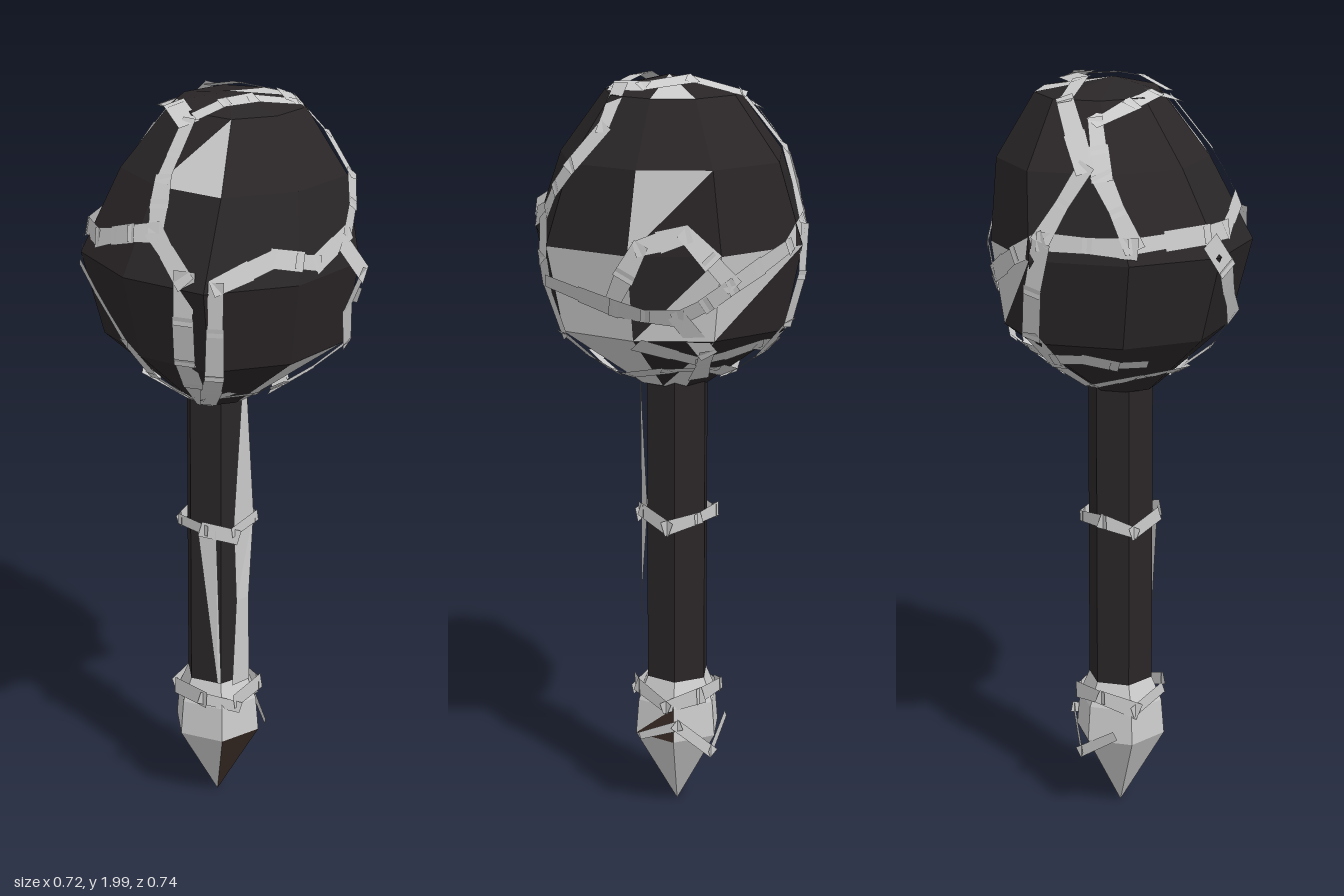
import * as THREE from 'three';

const V = (x, y, z) => new THREE.Vector3(x, y, z);
const rad = THREE.MathUtils.degToRad;
const material = (color, side = THREE.FrontSide) => new THREE.MeshStandardMaterial({ color, side, flatShading: true });
const dark = material(0x2a2628);
const brown = material(0x3a2c26);
const grey = material(0xcccccc);
const strapGrey = material(0xcccccc, THREE.DoubleSide);

// Shaft axis
const cx = -0.008, cz = -0.022;

function trianglesMesh(name, points, mat) {
  const geometry = new THREE.BufferGeometry().setFromPoints(points);
  geometry.computeVertexNormals();
  const mesh = new THREE.Mesh(geometry, mat);
  mesh.name = name;
  return mesh;
}

// Joins rings from bottom to top; pick(row, cell, half) chooses the mesh each facet goes to
function loft(name, rings, parts, pick) {
  const lists = parts.map(() => []);
  const n = rings[0].length;
  for (let r = 0; r < rings.length - 1; r++) {
    for (let i = 0; i < n; i++) {
      const j = (i + 1) % n;
      const a = rings[r][i], b = rings[r][j], c = rings[r + 1][j], d = rings[r + 1][i];
      if (a.distanceTo(b) > 1e-4) lists[pick(r, i, 0)].push(a, b, c);
      if (c.distanceTo(d) > 1e-4) lists[pick(r, i, 1)].push(a, c, d);
    }
  }
  const group = new THREE.Group();
  group.name = name;
  parts.forEach(([partName, mat], k) => group.add(trianglesMesh(partName, lists[k], mat)));
  return group;
}

// Flat overlapping strips along a path; outward(p) gives the facing direction
function ribbon(points, width, outward, out) {
  for (let k = 0; k < points.length - 1; k++) {
    const p = points[k], q = points[k + 1];
    const d = q.clone().sub(p).normalize();
    const side = d.clone().cross(outward(p.clone().lerp(q, 0.5))).normalize();
    const w0 = width * (0.5 + 0.1 * Math.sin(k * 2.3 + p.y * 20));
    const w1 = width * (0.5 + 0.1 * Math.cos(k * 3.1 + q.y * 20));
    const s = p.clone().addScaledVector(d, -0.012), e = q.clone().addScaledVector(d, 0.012);
    const a = s.clone().addScaledVector(side, w0), b = s.clone().addScaledVector(side, -w0);
    const c = e.clone().addScaledVector(side, -w1), f = e.clone().addScaledVector(side, w1);
    out.push(a, c, b, a, f, c);
  }
}

// Nine-sided stone head, each level scaled and shifted
function makeHead() {
  const radii = [0.36, 0.345, 0.36, 0.33, 0.345, 0.378, 0.36, 0.355, 0.33];
  const levels = [[1.185, 0, 0], [1.19, 0.26, -0.01], [1.36, 0.87, 0.01], [1.58, 1, 0],
    [1.79, 0.81, 0.038], [1.95, 0.48, 0.05], [1.985, 0, 0.02]];
  const rings = levels.map(([y, s, shift]) => radii.map((r, i) => {
    const a = rad(40 * i - 13);
    return V(Math.sin(a) * r * s + shift, y, Math.cos(a) * r * s - Math.abs(shift) * 0.8);
  }));
  // Pale facets, named by row and cell, with h for half a cell
  const pale = ['1-1', '1-2', '1-3h0', '2-2', '2-3h0', '2-4h1', '3-3h1', '4-8h0', '5-3h0'];
  return loft('head', rings, [['headStone', dark], ['headPalePatches', grey]],
    (r, i, h) => (pale.includes(`${r}-${i}`) || pale.includes(`${r}-${i}h${h}`) ? 1 : 0));
}

// Straps laid onto the head, each path in degrees: bearing from the front, then elevation
function makeHeadStraps(head) {
  const centre = V(0, 1.58, -0.01);
  const caster = new THREE.Raycaster();
  const direction = ([bearing, elevation]) => V(0, 0, 1).applyEuler(new THREE.Euler(-rad(elevation), rad(bearing), 0, 'YXZ'));
  const snap = dir => {
    caster.set(centre.clone().addScaledVector(dir, 2), dir.clone().negate());
    return caster.intersectObject(head, true)[0].point.addScaledVector(dir, 0.016);
  };
  const paths = [
    // front
    [[-21, 6], [-23, -33], [-24, -70]],
    [[-18, -68], [-9, -36], [-8, 3], [17, 12], [37, 7], [60, 14], [76, 32], [86, 48], [82, 64]],
    [[-21, 4], [-40, 22], [-80, 10], [-130, 8], [-144, 35], [-152, 57], [-125, 67], [-45, 70], [-45, 46], [-40, 24]],
    // crown
    [[-168, 9], [-153, 38], [-177, 61], [151, 75], [100, 67], [74, 65], [49, 77], [-35, 73]],
    // sides and back
    [[56, 10], [66, -4], [60, -18], [70, -34], [60, -68]],
    [[67, -14], [98, -23], [128, -27], [151, -13], [-168, 8], [-130, 7]],
    [[98, -20], [111, 4], [131, 10], [151, -12]],
    [[128, -27], [143, -42], [150, -65]],
    [[-95, 6], [-80, -15], [-60, -33], [-40, -68]],
    [[-168, 6], [-176, -30], [-167, -66]],
  ];
  // Zigzag loops underneath
  paths.push(Array.from({ length: 10 }, (_, k) => [k * 40, -62 + 5 * Math.sin(k * 2.2)]));
  paths.push(Array.from({ length: 5 }, (_, k) => [110 + k * 32, -44 + 7 * Math.cos(k * 2.6)]));
  const out = [];
  for (const path of paths) {
    const corners = path.map(direction);
    const points = [snap(corners[0])];
    for (let k = 1; k < corners.length; k++) {
      const steps = Math.ceil(corners[k].angleTo(corners[k - 1]) / 0.35);
      for (let s = 1; s <= steps; s++) points.push(snap(corners[k - 1].clone().lerp(corners[k], s / steps).normalize()));
    }
    ribbon(points, 0.047, p => p.clone().sub(centre).normalize(), out);
  }
  return trianglesMesh('headStraps', out, strapGrey);
}

// Point at a bearing around the shaft axis
const around = (deg, y, r) => V(cx + Math.sin(rad(deg)) * r, y, cz + Math.cos(rad(deg)) * r);

// Zigzag band around the shaft axis, over a number of 45 degree steps
function makeBand(name, y, r, wave, width, start, steps) {
  const points = Array.from({ length: steps + 1 }, (_, k) => around(k * 45 + start, y + wave * Math.sin(k * 2.2), r));
  const out = [];
  ribbon(points, width, p => V(p.x - cx, 0, p.z - cz).normalize(), out);
  return trianglesMesh(name, out, strapGrey);
}

// Tapering strip down the shaft; each station is height, left bearing, right bearing
function makeStrip(name, stations) {
  const out = [];
  const edges = stations.map(([y, left, right]) => [around(left, y, 0.098), around(right, y, 0.098)]);
  for (let k = 0; k < edges.length - 1; k++) {
    const [a, b] = [edges[k], edges[k + 1]];
    out.push(b[0], b[1], a[1], b[0], a[1], a[0]);
  }
  return trianglesMesh(name, out, strapGrey);
}

export function createModel() {
  const model = new THREE.Group();

  const head = makeHead();
  model.add(head, makeHeadStraps(head));

  // Six-sided shaft
  const shaft = new THREE.Mesh(new THREE.CylinderGeometry(0.087, 0.087, 0.86, 6), dark);
  shaft.position.set(cx, 0.79, cz);
  shaft.name = 'shaft';
  model.add(shaft);

  // Pointed pommel with two dark facets
  const rings = [[0, 0], [0.215, 0.122], [0.31, 0.114], [0.39, 0.08], [0.39, 0]]
    .map(([y, r]) => Array.from({ length: 6 }, (_, i) => around(i * 60, y, r)));
  model.add(loft('pommel', rings, [['pommelStone', grey], ['pommelDarkPatches', brown]],
    (r, i, h) => ((r === 0 && i === 0) || (r === 1 && i === 1 && h === 0) ? 1 : 0)));

  // Straps around the shaft and pommel
  model.add(
    makeBand('shaftBand', 0.83, 0.105, 0.018, 0.035, 20, 8),
    makeBand('pommelUpperBand', 0.335, 0.118, 0.022, 0.04, 20, 8),
    makeBand('pommelLowerBand', 0.225, 0.128, 0.05, 0.025, 80, 3),
    makeStrip('shaftLongStrip', [[1.2, 34, 46], [0.85, 20, 72], [0.62, 25, 52], [0.37, 18, 55]]),
    makeStrip('shaftShortStrip', [[0.83, -38, -8], [0.38, -6, 0]]),
  );
  return model;
}
